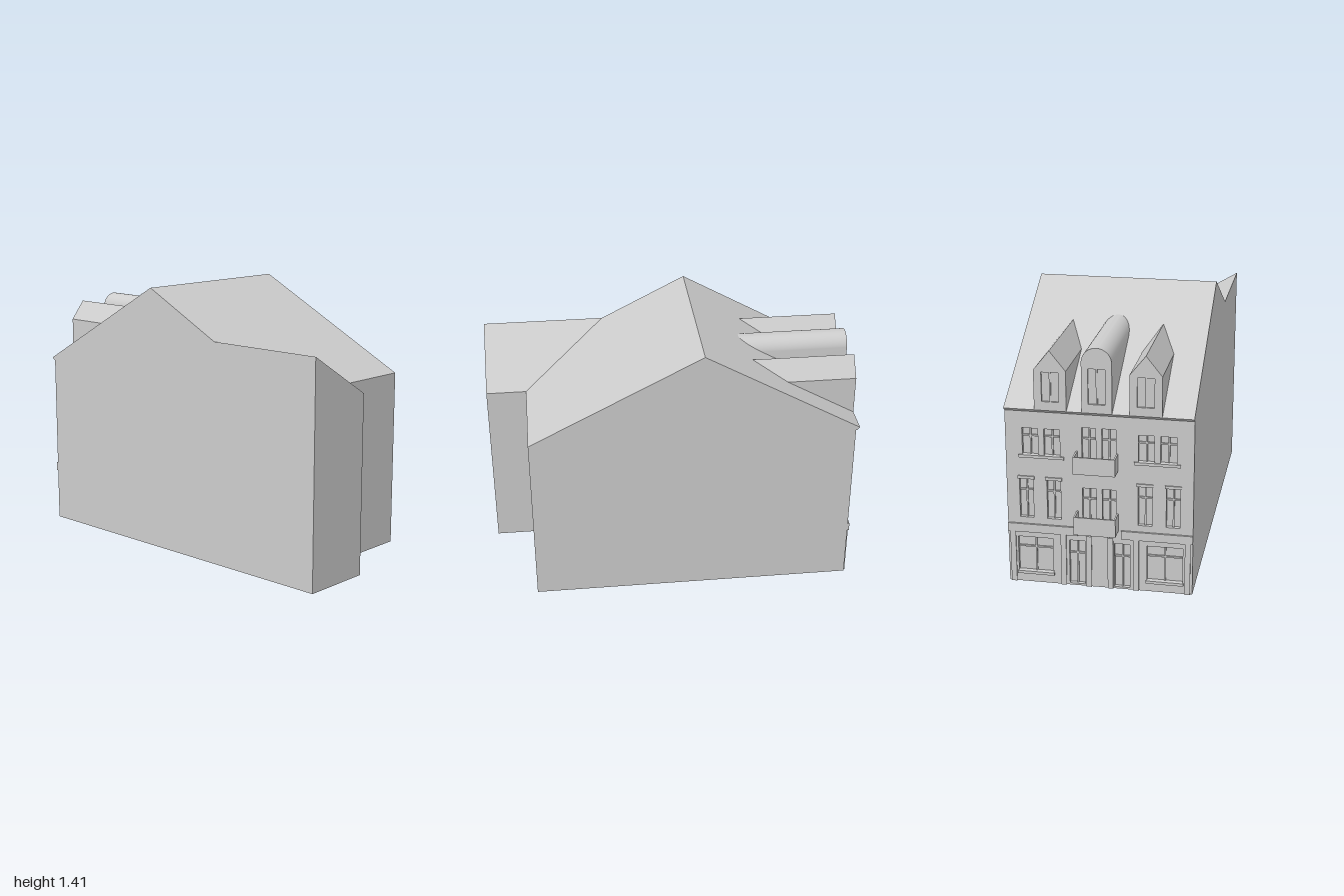
import * as THREE from 'three';
import { toCreasedNormals } from 'three/addons/utils/BufferGeometryUtils.js';

const stone = new THREE.MeshStandardMaterial({ color: 0xcccccc });
stone.name = 'light grey';

function add(parent, geometry, name) {
  const m = new THREE.Mesh(geometry, stone);
  m.name = name;
  parent.add(m);
  return m;
}

// Box given by its two corners
function block(parent, name, [x0, y0, z0], [x1, y1, z1]) {
  const m = add(parent, new THREE.BoxGeometry(x1 - x0, y1 - y0, z1 - z0), name);
  m.position.set((x0 + x1) / 2, (y0 + y1) / 2, (z0 + z1) / 2);
}

// Flat polygon, fanned from its first corner (counter-clockwise from outside)
function face(parent, name, ...pts) {
  const pos = [];
  for (let i = 1; i < pts.length - 1; i++) pos.push(...pts[0], ...pts[i], ...pts[i + 1]);
  const g = new THREE.BufferGeometry();
  g.setAttribute('position', new THREE.Float32BufferAttribute(pos, 3));
  g.computeVertexNormals();
  add(parent, g, name);
}

const polygon = (pts) => new THREE.Shape(pts.map(([x, y]) => new THREE.Vector2(x, y)));
const rect = (x0, x1, y0, y1) => polygon([[x0, y0], [x1, y0], [x1, y1], [x0, y1]]);
const extrude = (shape, depth) =>
  new THREE.ExtrudeGeometry(shape, { depth, bevelEnabled: false, curveSegments: 16 });

function buildShell() {
  const g = new THREE.Group();
  g.name = 'houseShell';
  const W = -0.9, E = 0.785, X = 1, F = 0.47, B = -0.47, N = 0.09;
  const eave = 0.945, top = 1.41, high = 1.175, ridge = -0.12, valley = 0.34;
  face(g, 'frontWall', [valley, high, F], [ridge, top, F], [-0.94, eave, F], [-0.925, 0.93, F],
    [W, 0.93, F], [W, 0, F], [X, 0, F], [X, high, F]);
  face(g, 'backWall', [ridge, top, B], [E, eave, B], [E, 0, B], [W, 0, B],
    [W, 0.93, B], [-0.925, 0.93, B], [-0.94, eave, B]);
  face(g, 'sideWall', [E, 0, N], [E, 0, B], [E, eave, B], [E, eave, N]);
  face(g, 'wingSideWall', [X, 0, F], [X, 0, N], [X, eave, N], [X, high, F]);
  face(g, 'wingBackWall', [X, 0, N], [E, 0, N], [E, eave, N], [X, eave, N]);
  face(g, 'recessWall', [W, 0, B], [W, 0, F], [W, 0.93, F], [W, 0.93, B]);
  face(g, 'streetRoof', [-0.94, eave, F], [ridge, top, F], [ridge, top, B], [-0.94, eave, B]);
  face(g, 'yardRoof', [ridge, top, F], [valley, high, F], [E, eave, N], [E, eave, B], [ridge, top, B]);
  face(g, 'wingRoof', [valley, high, F], [X, high, F], [X, eave, N], [E, eave, N]);
  face(g, 'eaveEdge', [-0.925, 0.93, B], [-0.925, 0.93, F], [-0.94, eave, F], [-0.94, eave, B]);
  face(g, 'eaveSoffit', [W, 0.93, B], [W, 0.93, F], [-0.925, 0.93, F], [-0.925, 0.93, B]);
  face(g, 'floor', [E, 0, N], [W, 0, F], [W, 0, B], [E, 0, B]);
  face(g, 'wingFloor', [E, 0, N], [X, 0, N], [X, 0, F], [W, 0, F]);
  return g;
}

// Facade frame: x runs along the street, z points out of the wall
function buildFacade() {
  const g = new THREE.Group();
  g.name = 'streetFacade';
  g.rotation.y = -Math.PI / 2;
  g.position.x = -0.9;

  // Wall plate pierced by recessed openings
  const wall = rect(-0.47, 0.47, 0, 0.93);
  const opening = (x0, x1, y0, y1) => {
    wall.holes.push(rect(x0, x1, y0, y1));
    const c = (x0 + x1) / 2;
    block(g, 'mullion', [c - 0.004, y0, 0], [c + 0.004, y1, 0.008]);
    const bar = y0 + (y1 - y0) * 0.7;
    block(g, 'transom', [x0, bar - 0.004, 0], [x1, bar + 0.004, 0.008]);
  };
  for (const s of [-1, 1]) {
    // Shop front and door
    opening(s * 0.33 - 0.09, s * 0.33 + 0.09, 0.06, 0.25);
    opening(s * 0.115 - 0.04, s * 0.115 + 0.04, 0.01, 0.25);
    block(g, 'shopSill', [s * 0.33 - 0.095, 0.045, 0.018], [s * 0.33 + 0.095, 0.06, 0.028]);
    // Middle floor windows
    for (const x of [0.23, 0.37]) {
      opening(s * x - 0.035, s * x + 0.035, 0.36, 0.57);
      block(g, 'lintel', [s * x - 0.042, 0.57, 0.018], [s * x + 0.042, 0.585, 0.026]);
    }
    // Upper floor windows on a shared sill
    for (const x of [0.235, 0.345]) opening(s * x - 0.04, s * x + 0.04, 0.7, 0.84);
    block(g, 'upperSill', [s * 0.29 - 0.115, 0.685, 0.018], [s * 0.29 + 0.115, 0.7, 0.028]);
    // Balcony doors
    for (const y of [0.34, 0.66]) opening(s * 0.05 - 0.035, s * 0.05 + 0.035, y, y + 0.2);
    // Pilasters
    for (const x of [0.055, 0.185, 0.445]) {
      block(g, 'pilaster', [s * x - 0.014, 0, 0.018], [s * x + 0.014, 0.28, 0.027]);
    }
    block(g, 'shopCornice', [s * 0.29 - 0.18, 0.28, 0.018], [s * 0.29 + 0.18, 0.325, 0.03]);
  }
  add(g, extrude(wall, 0.02), 'facadeWall');

  // Open-topped balconies
  for (const [y0, y1] of [[0.32, 0.415], [0.645, 0.735]]) {
    const b = new THREE.Group();
    b.name = 'balcony';
    block(b, 'balconyFloor', [-0.115, y0, 0.02], [0.095, y0 + 0.012, 0.1]);
    block(b, 'balconyFront', [-0.115, y0, 0.092], [0.095, y1, 0.1]);
    block(b, 'balconySide', [-0.115, y0, 0.02], [-0.107, y1, 0.1]);
    block(b, 'balconySide', [0.087, y0, 0.02], [0.095, y1, 0.1]);
    g.add(b);
  }

  // Dormers: a solid body running into the roof plus a pierced front
  const dormer = (name, x, outline, back, winTop) => {
    const d = new THREE.Group();
    d.name = name;
    d.position.x = x;
    const body = add(d, toCreasedNormals(extrude(outline(), back + 0.03), 0.5), 'dormerBody');
    body.position.z = -back;
    const front = outline();
    front.holes.push(rect(-0.042, 0.042, 0.99, winTop));
    add(d, toCreasedNormals(extrude(front, 0.01), 0.5), 'dormerFront').position.z = 0.03;
    block(d, 'mullion', [-0.004, 0.99, 0.03], [0.004, winTop, 0.036]);
    g.add(d);
  };
  const gable = () => polygon([[-0.08, 0.945], [0.08, 0.945], [0.08, 1.15], [0, 1.25], [-0.08, 1.15]]);
  const arch = () => {
    const s = new THREE.Shape();
    s.moveTo(-0.075, 0.945);
    s.lineTo(0.075, 0.945);
    s.lineTo(0.075, 1.2);
    s.absarc(0, 1.2, 0.075, 0, Math.PI, false);
    s.closePath();
    return s;
  };
  dormer('gableDormer', -0.235, gable, 0.5, 1.14);
  dormer('gableDormer', 0.235, gable, 0.5, 1.14);
  dormer('archedDormer', -0.005, arch, 0.54, 1.17);
  return g;
}

export function createModel() {
  const model = new THREE.Group();
  model.name = 'townhouse';
  model.add(buildShell(), buildFacade());
  return model;
}
